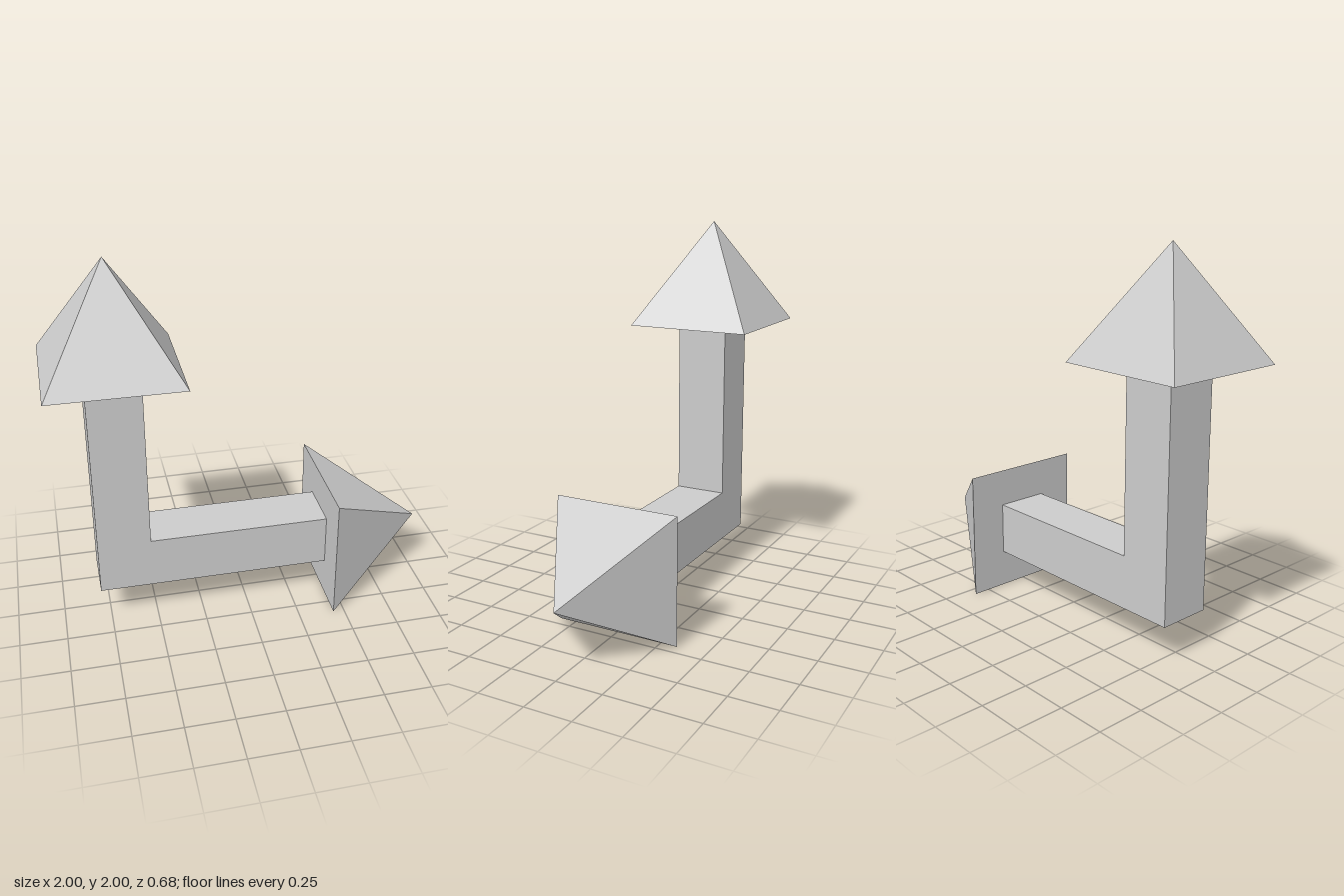
import * as THREE from 'three';

const HALF = 0.14;      // half thickness of the shaft
const HEAD = 0.34;      // half width of an arrowhead base
const HEAD_LEN = 0.56;  // arrowhead length
const CX = -0.66, CY = 0.34; // where the two shaft axes meet
const END_X = 0.44, END_Y = 1.44; // where the heads begin

export function createModel() {
  const group = new THREE.Group();
  group.name = 'cornerArrows';
  const material = new THREE.MeshStandardMaterial({ color: 0xcccccc, flatShading: true });

  // L-shaped square shaft
  const outline = new THREE.Shape([
    [CX - HALF, CY - HALF], [END_X, CY - HALF], [END_X, CY + HALF],
    [CX + HALF, CY + HALF], [CX + HALF, END_Y], [CX - HALF, END_Y],
  ].map(([x, y]) => new THREE.Vector2(x, y)));
  const shaftGeometry = new THREE.ExtrudeGeometry(outline, { depth: 2 * HALF, bevelEnabled: false });
  shaftGeometry.translate(0, 0, -HALF);
  const shaft = new THREE.Mesh(shaftGeometry, material);
  shaft.name = 'shaft';
  group.add(shaft);

  // Square pyramid heads, base at the local origin and tip along +y
  const headGeometry = new THREE.ConeGeometry(HEAD * Math.SQRT2, HEAD_LEN, 4, 1, false, Math.PI / 4);
  headGeometry.translate(0, HEAD_LEN / 2, 0);
  const addHead = (name, x, y, turn) => {
    const head = new THREE.Mesh(headGeometry, material);
    head.name = name;
    head.position.set(x, y, 0);
    head.rotation.z = turn;
    group.add(head);
  };
  addHead('upArrowhead', CX, END_Y, 0);
  addHead('sideArrowhead', END_X, CY, -Math.PI / 2);

  return group;
}
